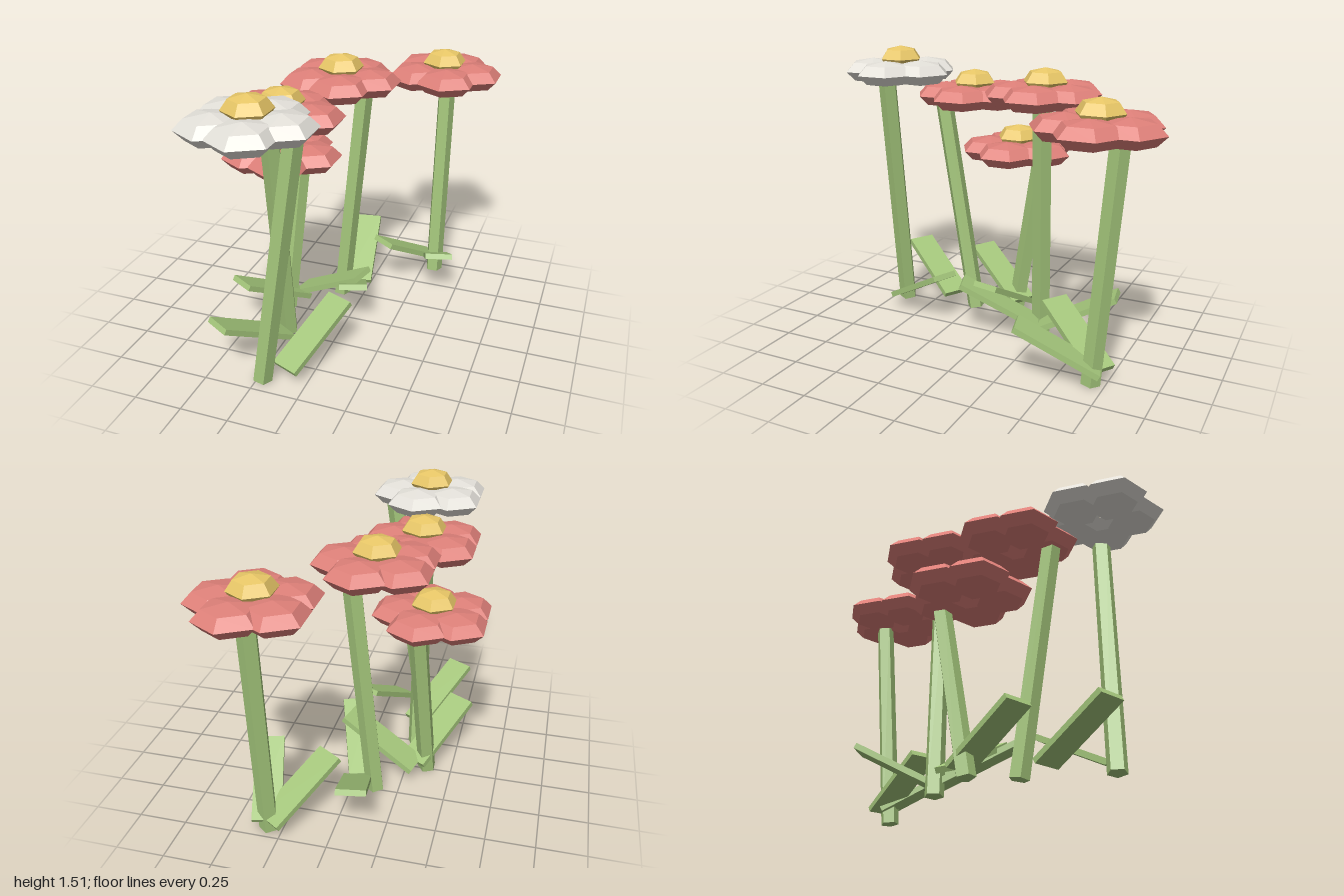
import * as THREE from 'three';

const material = (color) => new THREE.MeshStandardMaterial({ color, flatShading: true });

const STEM_RADIUS = 0.05, PETAL_RING = 0.158, PETAL_RADIUS = 0.168;
const HEART_RADIUS = 0.12, HALF_HEIGHT = 0.07;
const LEAF = { width: 0.15, thickness: 0.03, length: 0.465, tilt: THREE.MathUtils.degToRad(28), y: 0.188 };

// Flowers: foot position, height of the petals, sideways lean of the stem top
const FLOWERS = [
  { x: 0.32, z: -0.682, y: 1.26, lean: [0, -0.1], color: 'red' },
  { x: -0.127, z: -0.24, y: 1.31, lean: [0.12, -0.035], color: 'red' },
  { x: -0.365, z: 0.01, y: 0.955, lean: [0.05, -0.165], color: 'red' },
  { x: -0.263, z: 0.23, y: 1.26, lean: [0.02, 0.19], color: 'red' },
  { x: -0.22, z: 0.67, y: 1.37, lean: [0.2, -0.035], color: 'white' },
];

// Leaves: centre x, centre z, direction in which the leaf rises
const LEAVES = [
  [0.37, -0.526, 0.27, 0.96],
  [0.19, -0.56, -0.55, 0.83],
  [-0.07, -0.47, -0.17, -0.98],
  [0.008, -0.05, 0.33, 0.945],
  [-0.118, -0.045, 0.97, 0.23],
  [-0.4, 0.125, -0.5, 0.866],
  [-0.335, 0.525, -0.5, 0.866],
  [-0.03, 0.455, 0.38, -0.92],
];

// Squashed six-sided bead with corners pointing along z
function beadGeometry(radius) {
  return new THREE.SphereGeometry(1, 6, 4).rotateY(Math.PI / 2).scale(radius, HALF_HEIGHT, radius);
}

export function createModel() {
  const model = new THREE.Group();
  model.name = 'flowerPatch';

  const green = material(0xa4c67b);
  const yellow = material(0xe8c767);
  const petalMaterials = { red: material(0xde8079), white: material(0xe4e1da) };
  const petalGeometry = beadGeometry(PETAL_RADIUS);
  const heartGeometry = beadGeometry(HEART_RADIUS);
  const leafGeometry = new THREE.BoxGeometry(LEAF.width, LEAF.thickness, LEAF.length);

  for (const { x, z, y, lean, color } of FLOWERS) {
    const flower = new THREE.Group();
    flower.name = 'flower';
    flower.position.set(x, 0, z);

    // Five-sided stem, one corner facing the way it leans
    const rise = y - 0.008;
    const reach = Math.hypot(...lean);
    const length = Math.hypot(rise, reach);
    const stem = new THREE.Mesh(
      new THREE.CylinderGeometry(STEM_RADIUS, STEM_RADIUS, length, 5).translate(0, length / 2, 0), green);
    stem.name = 'stem';
    stem.position.y = 0.008;
    stem.rotation.set(Math.atan2(reach, rise), Math.atan2(lean[0], lean[1]), 0, 'YXZ');
    flower.add(stem);

    // Head: five petals round a yellow heart
    const head = new THREE.Group();
    head.name = 'flowerHead';
    head.position.y = y;
    for (let i = 0; i < 5; i++) {
      const angle = (i / 5) * Math.PI * 2;
      const petal = new THREE.Mesh(petalGeometry, petalMaterials[color]);
      petal.name = 'petal';
      petal.position.set(Math.cos(angle) * PETAL_RING, 0, Math.sin(angle) * PETAL_RING);
      head.add(petal);
    }
    const heart = new THREE.Mesh(heartGeometry, yellow);
    heart.name = 'flowerHeart';
    heart.position.y = HALF_HEIGHT;
    head.add(heart);
    flower.add(head);
    model.add(flower);
  }

  // Flat leaves slanting up from the feet of the stems
  for (const [x, z, dx, dz] of LEAVES) {
    const leaf = new THREE.Mesh(leafGeometry, green);
    leaf.name = 'leaf';
    leaf.position.set(x, LEAF.y, z);
    leaf.rotation.set(-LEAF.tilt, Math.atan2(dx, dz), 0, 'YXZ');
    model.add(leaf);
  }
  return model;
}
